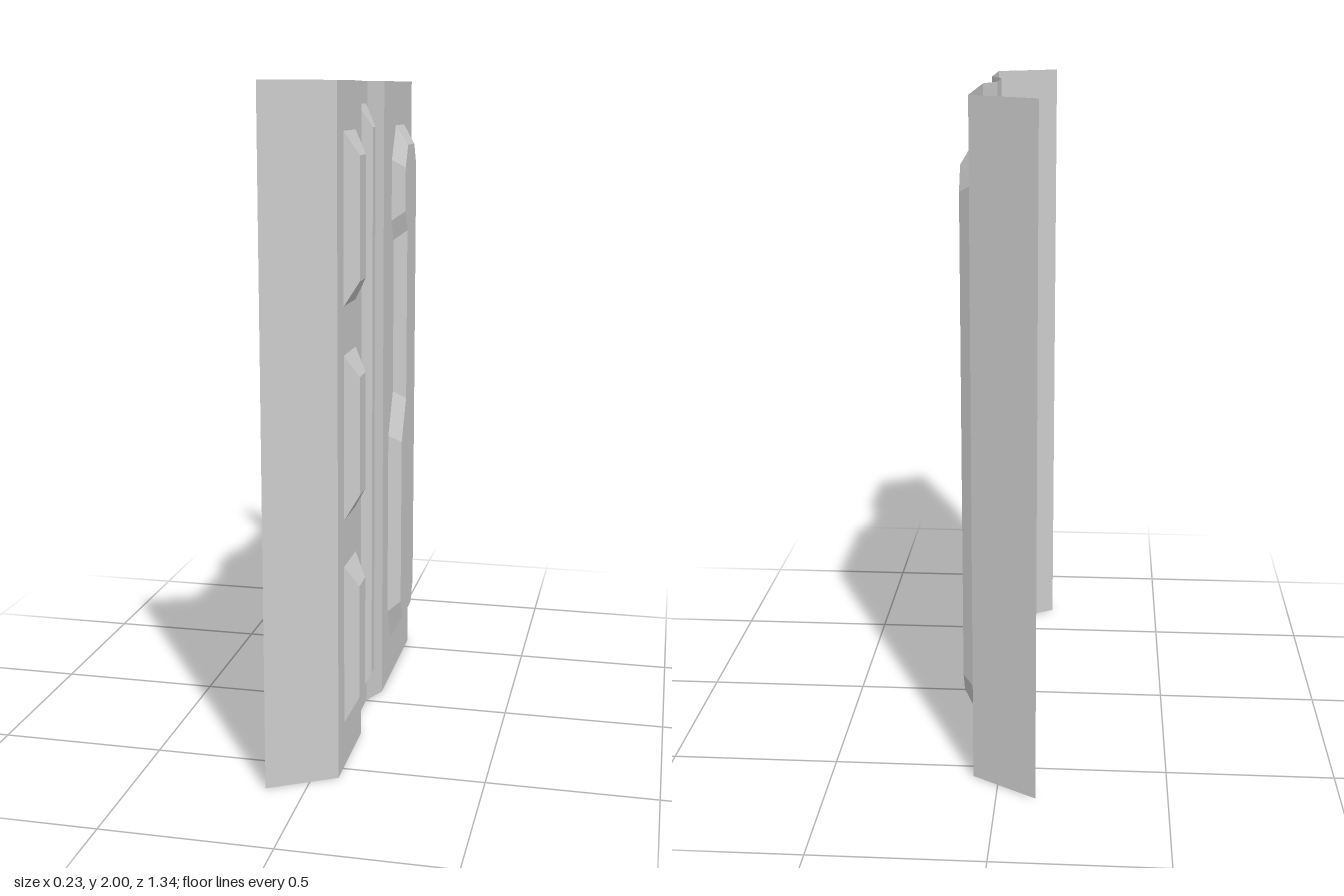
import * as THREE from 'three';

const material = new THREE.MeshStandardMaterial({ color: 0xcccccc, flatShading: true, side: THREE.DoubleSide });
const HEIGHT = 2;
const FACE = 0.076;    // x of the main sheet
const GROOVE = 0.04;   // x of the recessed middle strip
const RISE = 0.038;    // height of every pressed rib

const points = list => list.map(([u, y]) => new THREE.Vector2(u, y));
const rect = (u0, u1, y0, y1) => [[u0, y0], [u1, y0], [u1, y1], [u0, y1]];

function addMesh(group, name, geometry) {
  const mesh = new THREE.Mesh(geometry, material);
  mesh.name = name;
  group.add(mesh);
}

// Flat sheet facing +x, drawn in (u = -z, y), with optional openings
function sheet(outline, holes, x) {
  const shape = new THREE.Shape(points(outline));
  for (const hole of holes) shape.holes.push(new THREE.Path(points(hole)));
  return new THREE.ShapeGeometry(shape).rotateY(Math.PI / 2).translate(x, 0, 0);
}

// Sloping strip of full height between two (u, x) edges
function strip([u0, x0], [u1, x1]) {
  const g = new THREE.PlaneGeometry(1, HEIGHT);
  const p = g.attributes.position;
  for (let i = 0; i < p.count; i++) {
    const first = p.getX(i) < 0;
    p.setXYZ(i, first ? x0 : x1, p.getY(i) + HEIGHT / 2, first ? -u0 : -u1);
  }
  g.computeVertexNormals();
  return g;
}

// Bevelled wall joining an opening to the smaller raised outline
function bevel(outer, inner, x) {
  const pos = [];
  outer.forEach((a, i) => {
    const j = (i + 1) % outer.length;
    const b = outer[j], c = inner[j], d = inner[i];
    const A = [x, a[1], -a[0]], B = [x, b[1], -b[0]];
    const C = [x + RISE, c[1], -c[0]], D = [x + RISE, d[1], -d[0]];
    pos.push(...A, ...B, ...C, ...A, ...C, ...D);
  });
  const g = new THREE.BufferGeometry();
  g.setAttribute('position', new THREE.Float32BufferAttribute(pos, 3));
  g.computeVertexNormals();
  return g;
}

function addRib(group, name, { outer, inner }, x) {
  const rib = new THREE.Group();
  rib.name = name;
  addMesh(rib, name + 'Bevel', bevel(outer, inner, x));
  addMesh(rib, name + 'Face', sheet(inner, [], x + RISE));
  group.add(rib);
}

export function createModel() {
  const group = new THREE.Group();
  group.name = 'pressedPanel';

  // Three short ribs, one above the other
  const shortRibs = [0.14, 0.762, 1.383].map(y => ({
    outer: rect(-0.484, -0.329, y, y + 0.482),
    inner: rect(-0.446, -0.367, y + 0.067, y + 0.415),
  }));

  // Long rib in the groove
  const longRib = {
    outer: rect(-0.138, -0.021, 0.07, 1.934),
    inner: rect(-0.097, -0.059, 0.138, 1.865),
  };

  // Large stepped rib
  const steppedRib = {
    outer: [[0.233, 0.14], [0.42, 0.14], [0.483, 0.25], [0.483, 1.755], [0.42, 1.862], [0.276, 1.862],
      [0.212, 1.755], [0.212, 1.562], [0.25, 1.497], [0.25, 0.995], [0.175, 0.86], [0.175, 0.25]],
    inner: [[0.25, 0.207], [0.403, 0.207], [0.442, 0.276], [0.442, 1.73], [0.403, 1.8], [0.291, 1.8],
      [0.25, 1.73], [0.25, 1.59], [0.288, 1.525], [0.288, 0.965], [0.212, 0.833], [0.212, 0.276]],
  };

  // Folded sheet: flat runs carry the openings, strips join them
  addMesh(group, 'leftSheet', sheet(rect(-0.562, -0.25, 0, HEIGHT), shortRibs.map(r => r.outer), FACE));
  addMesh(group, 'grooveSheet', sheet(rect(-0.172, 0.002, 0, HEIGHT), [longRib.outer], GROOVE));
  addMesh(group, 'rightSheet', sheet(rect(0.083, 0.557, 0, HEIGHT), [steppedRib.outer], FACE));
  addMesh(group, 'grooveSlopeFront', strip([-0.25, FACE], [-0.172, GROOVE]));
  addMesh(group, 'grooveSlopeBack', strip([0.002, GROOVE], [0.083, FACE]));
  addMesh(group, 'frontFlange', strip([-0.672, -0.115], [-0.562, FACE]));
  addMesh(group, 'backFlange', strip([0.557, FACE], [0.672, -0.115]));

  shortRibs.forEach((r, i) => addRib(group, 'shortRib' + (i + 1), r, FACE));
  addRib(group, 'longRib', longRib, GROOVE);
  addRib(group, 'steppedRib', steppedRib, FACE);
  return group;
}
